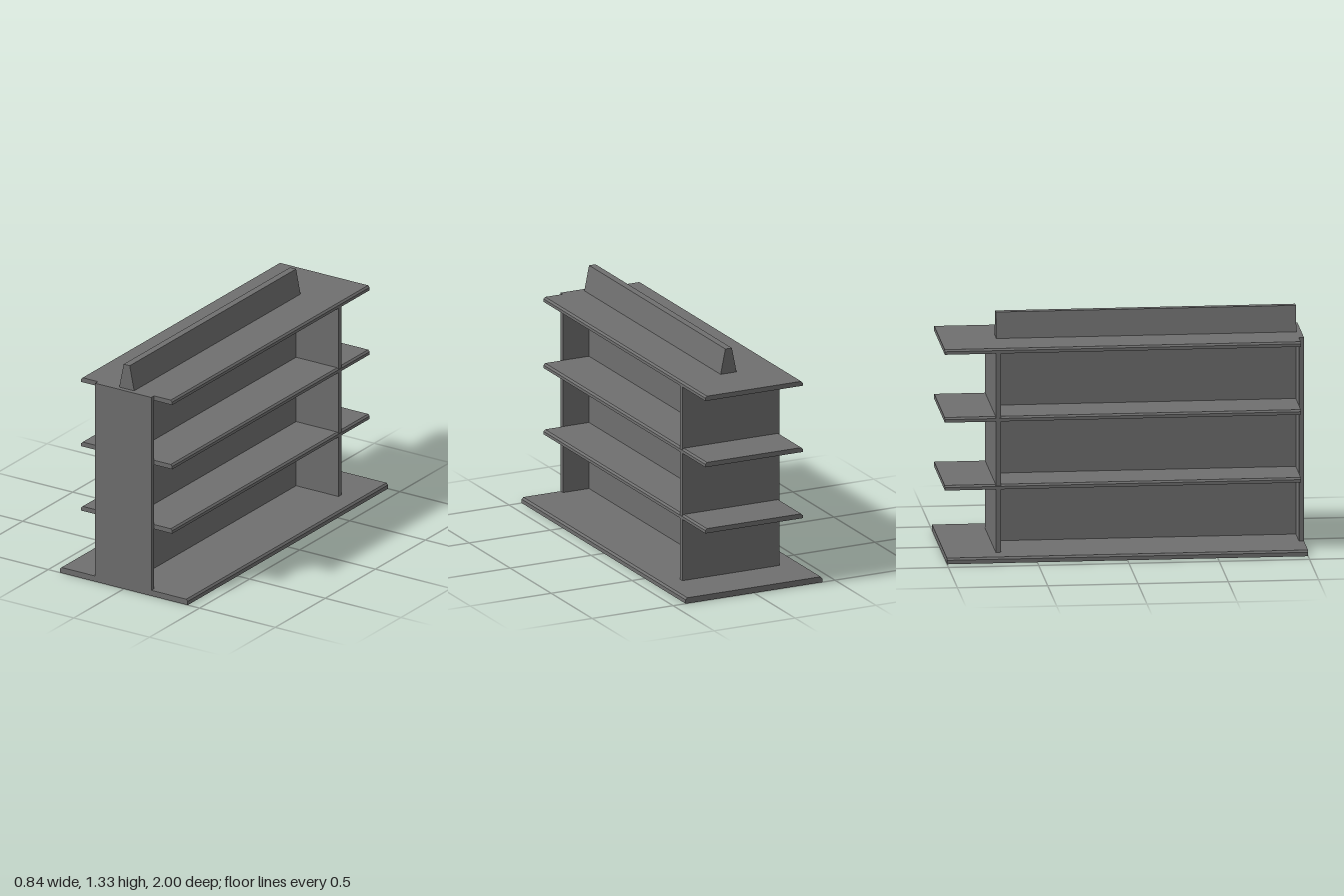
import * as THREE from 'three';

const material = new THREE.MeshStandardMaterial({ color: 0x6f6f6f, flatShading: true });

export function createModel() {
  const root = new THREE.Group();
  root.name = 'displayShelf';

  const add = (name, geometry) => {
    const mesh = new THREE.Mesh(geometry, material);
    mesh.name = name;
    root.add(mesh);
  };
  // Axis-aligned panel given by its limits
  const panel = (name, x0, x1, y0, y1, z0, z1) => {
    const g = new THREE.BoxGeometry(x1 - x0, y1 - y0, z1 - z0);
    g.translate((x0 + x1) / 2, (y0 + y1) / 2, (z0 + z1) / 2);
    add(name, g);
  };
  // x-y profile swept from z0 to z1
  const sweep = (name, points, z0, z1) => {
    const shape = new THREE.Shape(points.map(([x, y]) => new THREE.Vector2(x, y)));
    const g = new THREE.ExtrudeGeometry(shape, { depth: z1 - z0, bevelEnabled: false });
    g.translate(0, 0, z0);
    add(name, g);
  };

  // Base tray: bevelled top edges, shallow hollow underneath
  sweep('base', [
    [-0.422, 0], [-0.412, 0], [-0.412, 0.016], [0.412, 0.016], [0.412, 0], [0.422, 0],
    [0.422, 0.022], [0.412, 0.033], [-0.412, 0.033], [-0.422, 0.022],
  ], -1, 1);
  panel('baseFrontRim', -0.412, 0.412, 0, 0.016, 0.99, 1);
  panel('baseBackRim', -0.412, 0.412, 0, 0.016, -1, -0.99);

  // Upright panels: narrow front, wide back, thin spine between them
  panel('frontPanel', -0.19, 0.181, 0, 1.184, 0.972, 1);
  panel('backPanel', -0.3, 0.3, 0.002, 1.17, -0.718, -0.69);
  panel('spine', -0.018, 0.02, 0.03, 1.17, -0.69, 0.972);

  // Three shelves with bevelled long edges, overhanging the back panel
  for (const y of [0.389, 0.773, 1.157]) {
    sweep('shelf', [
      [-0.301, y], [0.301, y], [0.301, y + 0.017], [0.291, y + 0.027],
      [-0.291, y + 0.027], [-0.301, y + 0.017],
    ], -1, 0.972);
  }

  // Tapered ridge along the top
  sweep('topRidge', [[-0.05, 1.18], [0.05, 1.18], [0.02, 1.327], [-0.02, 1.327]], -0.69, 0.972);

  return root;
}
